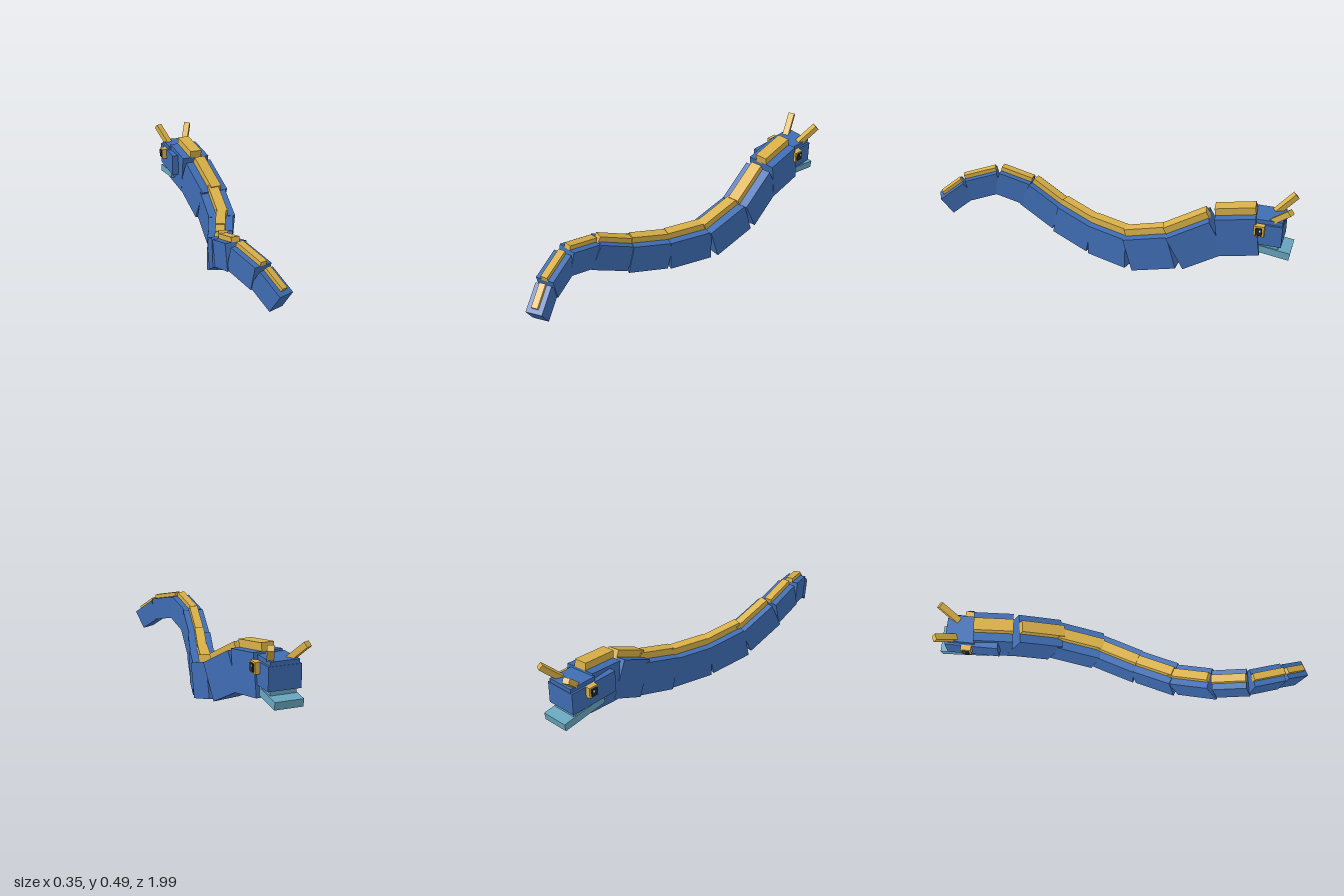
import * as THREE from 'three';

const paint = (name, color) => {
  const m = new THREE.MeshStandardMaterial({ color });
  m.name = name;
  return m;
};

export function createModel() {
  const model = new THREE.Group();
  model.name = 'serpent';
  const blue = paint('scale blue', 0x3f6db3);
  const gold = paint('crest gold', 0xd9b048);
  const teal = paint('jaw teal', 0x68a5be);
  const dark = paint('eye dark', 0x20242e);
  const white = paint('eye glint', 0xe8e8e8);

  const box = (name, mat, size, pos, parent = model) => {
    const mesh = new THREE.Mesh(new THREE.BoxGeometry(...size), mat);
    mesh.name = name;
    mesh.position.set(...pos);
    parent.add(mesh);
    return mesh;
  };

  // A group at the middle of a-b whose z axis runs from b to a, kept level sideways
  const between = (name, a, b) => {
    const g = new THREE.Group();
    g.name = name;
    const va = new THREE.Vector3(...a), vb = new THREE.Vector3(...b);
    g.position.copy(va).add(vb).multiplyScalar(0.5);
    g.lookAt(va);
    model.add(g);
    return [g, va.distanceTo(vb)];
  };

  // Joints of the body, from the tail tip to the neck
  const joints = [
    [0.025, 0.163, 0.943], [-0.035, 0.25, 0.83], [-0.1, 0.293, 0.665],
    [-0.11, 0.245, 0.49], [-0.07, 0.145, 0.285], [0, 0.097, 0.07],
    [0.073, 0.094, -0.16], [0.088, 0.165, -0.4], [0.05, 0.28, -0.615],
    [0.028, 0.31, -0.82],
  ];
  // Width and height of each body segment, then width and height of its crest
  const sections = [
    [0.088, 0.113, 0.034, 0.018], [0.1, 0.125, 0.038, 0.022],
    [0.108, 0.137, 0.042, 0.025], [0.116, 0.152, 0.046, 0.03],
    [0.128, 0.168, 0.05, 0.035], [0.135, 0.175, 0.054, 0.038],
    [0.148, 0.186, 0.058, 0.038], [0.157, 0.203, 0.063, 0.038],
    [0.16, 0.215, 0.068, 0.04],
  ];
  sections.forEach(([w, h, cw, ch], i) => {
    const [seg, len] = between('bodySegment' + (i + 1), joints[i], joints[i + 1]);
    box('segmentBody', blue, [w, h, len], [0, 0, 0], seg);
    const cut = i === 0 ? 0.025 : 0;
    box('segmentCrest', gold, [cw, ch + 0.01, len - cut], [0, h / 2 + ch / 2 - 0.005, -cut / 2], seg);
  });

  // Head
  const cx = 0.013;
  box('skull', blue, [0.17, 0.118, 0.28], [cx, 0.324, -0.81], model);
  box('crown', blue, [0.148, 0.024, 0.155], [cx, 0.393, -0.87]);
  box('palate', teal, [0.135, 0.026, 0.22], [cx, 0.253, -0.825]);
  const jaw = box('lowerJaw', teal, [0.148, 0.04, 0.26], [cx, 0.228, -0.867]);
  jaw.rotation.x = -0.14;

  for (const s of [-1, 1]) {
    const [horn, len] = between('horn', [cx + s * 0.045, 0.385, -0.885], [cx + s * 0.093, 0.482, -0.985]);
    box('hornShaft', gold, [0.034, 0.03, len], [0, 0, 0], horn);
    // Eye: frame, pupil plate and glint
    box('eyeFrame', gold, [0.028, 0.058, 0.054], [cx + s * 0.096, 0.355, -0.835]);
    box('pupil', dark, [0.008, 0.04, 0.034], [cx + s * 0.1135, 0.355, -0.835]);
    box('glint', white, [0.004, 0.01, 0.009], [cx + s * 0.119, 0.364, -0.842]);
  }
  return model;
}
